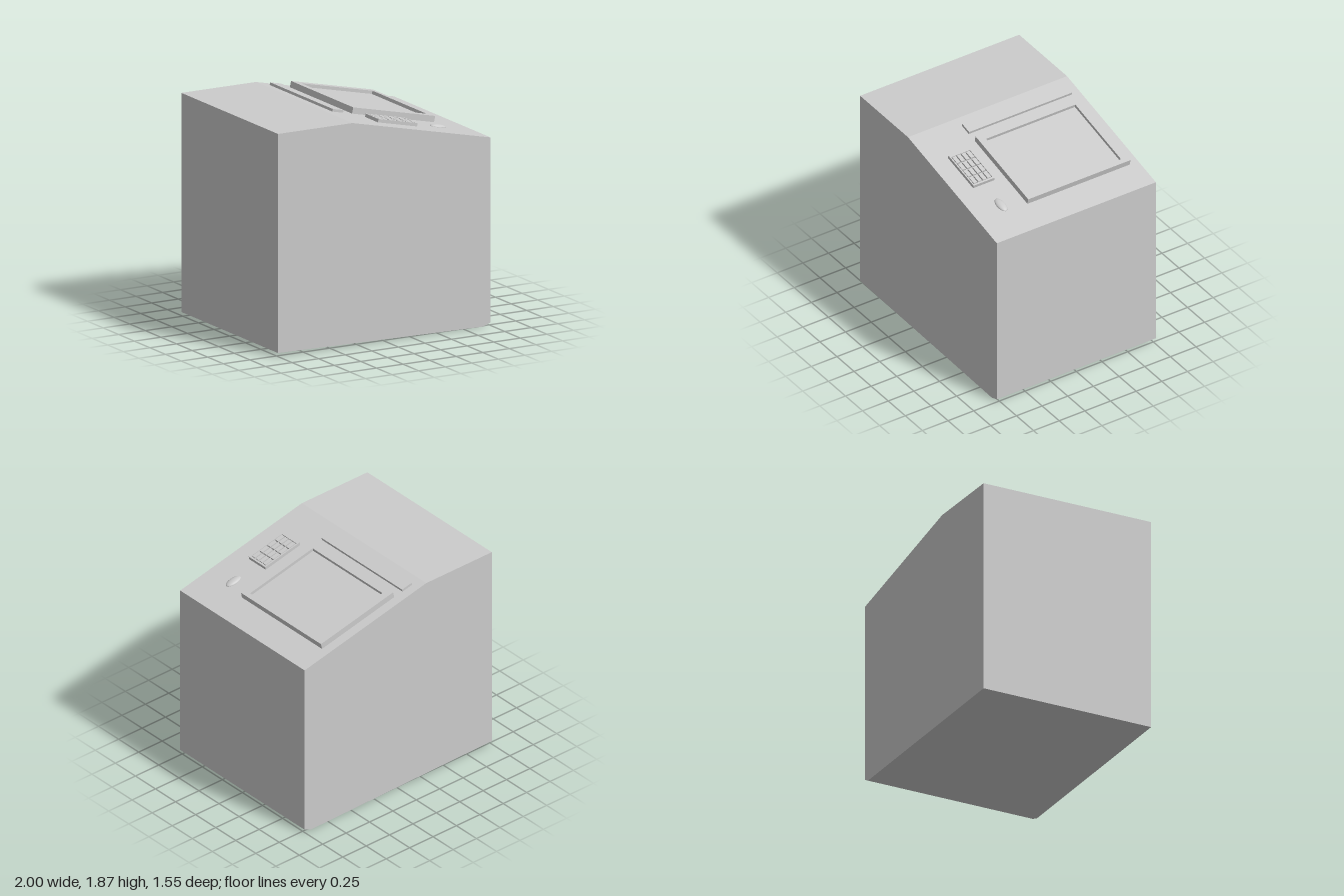
import * as THREE from 'three';

const material = new THREE.MeshStandardMaterial({ color: 0xcccccc });
const flat = new THREE.MeshStandardMaterial({ color: 0xcccccc, flatShading: true });

const HINGE = [-0.3, 1.865]; // where the flat top meets the sloped panel
const SLOPE = Math.atan2(0.29, 1.3);
const along = (x) => (x - HINGE[0]) / Math.cos(SLOPE); // world x to distance down the slope

function add(parent, name, geometry, mat = flat) {
  const mesh = new THREE.Mesh(geometry, mat);
  mesh.name = name;
  parent.add(mesh);
  return mesh;
}

// Rectangle path given by world x and z limits; shape y is -z
function rectangle(path, x0, x1, z0, z1) {
  const a = along(x0), b = along(x1);
  path.moveTo(a, -z1);
  path.lineTo(b, -z1);
  path.lineTo(b, -z0);
  path.lineTo(a, -z0);
  path.closePath();
  return path;
}

// Plate lying on the sloped panel, optionally with a rectangular opening
function plate(outer, height, opening) {
  const shape = rectangle(new THREE.Shape(), ...outer);
  if (opening) shape.holes.push(rectangle(new THREE.Path(), ...opening));
  return new THREE.ExtrudeGeometry(shape, { depth: height, bevelEnabled: false }).rotateX(-Math.PI / 2);
}

export function createModel() {
  const model = new THREE.Group();
  model.name = 'console';

  // Cabinet: side profile extruded from back to front
  const profile = [[-1, 0.03], [0.93, 0], [1, 0.027], [1, 1.575], HINGE, [-1, 1.865]];
  const side = new THREE.Shape(profile.map(([x, y]) => new THREE.Vector2(x, y)));
  const cabinet = new THREE.ExtrudeGeometry(side, { depth: 1.55, bevelEnabled: false });
  add(model, 'cabinet', cabinet.translate(0, 0, -0.775));

  // Everything on the sloped panel sits in a tilted group
  const panel = new THREE.Group();
  panel.name = 'controlPanel';
  panel.position.set(...HINGE, 0);
  panel.rotation.z = -SLOPE;
  model.add(panel);

  // Screen with a raised frame
  const opening = [0.032, 0.7, -0.627, 0.24];
  add(panel, 'screenFrame', plate([-0.028, 0.743, -0.692, 0.305], 0.052, opening));
  add(panel, 'screen', plate(opening, 0.025));

  // Long bar above the screen
  add(panel, 'topBar', plate([-0.215, -0.113, -0.697, 0.307], 0.022));

  // Keypad: rim, floor and a four by four block of keys
  const well = [0.06, 0.388, 0.416, 0.597];
  add(panel, 'keypadRim', plate([0.036, 0.405, 0.403, 0.609], 0.028, well));
  add(panel, 'keypadFloor', plate(well, 0.012));
  const keys = new THREE.Group();
  keys.name = 'keys';
  panel.add(keys);
  const stepX = (well[1] - well[0]) / 4, stepZ = (well[3] - well[2]) / 4, gap = 0.005;
  for (let column = 0; column < 4; column++) {
    for (let row = 0; row < 4; row++) {
      const x = well[0] + column * stepX, z = well[2] + row * stepZ;
      add(keys, 'key', plate([x + gap, x + stepX - gap, z + gap, z + stepZ - gap], 0.028));
    }
  }

  // Oval button
  const button = add(panel, 'ovalButton', new THREE.SphereGeometry(1, 32, 16), material);
  button.scale.set(0.076, 0.021, 0.039);
  button.position.set(along(0.66), 0, 0.508);

  return model;
}
